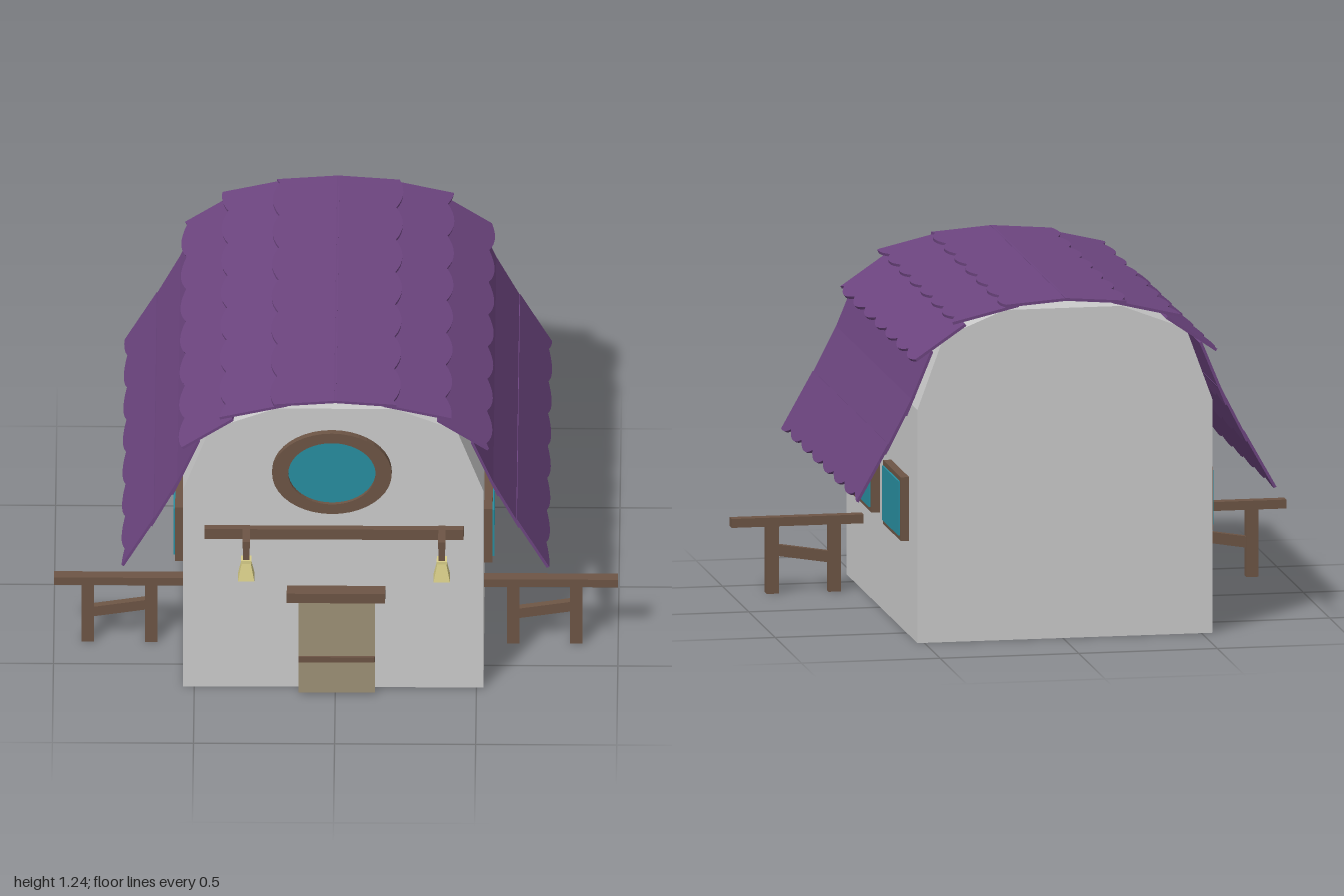
import * as THREE from 'three';

const mat = (color) => new THREE.MeshStandardMaterial({ color, flatShading: true });

export function createModel() {
  const house = new THREE.Group();
  house.name = 'house';
  const wall = mat(0xcccccc), purple = mat(0x6d4580), wood = mat(0x6d5545);
  const glass = mat(0x288ea0), plank = mat(0x9e9176), brass = mat(0xd8ce89);

  const add = (name, geo, material, parent = house) => {
    const mesh = new THREE.Mesh(geo, material);
    mesh.name = name;
    parent.add(mesh);
    return mesh;
  };
  // box given by its min and max corners
  const box = (name, [x0, y0, z0], [x1, y1, z1], material, parent) => {
    const m = add(name, new THREE.BoxGeometry(x1 - x0, y1 - y0, z1 - z0), material, parent);
    m.position.set((x0 + x1) / 2, (y0 + y1) / 2, (z0 + z1) / 2);
    return m;
  };
  const group = (name) => {
    const g = new THREE.Group();
    g.name = name;
    house.add(g);
    return g;
  };

  // barn-shaped walls
  const profile = new THREE.Shape([
    [-0.54, 0], [0.525, 0], [0.525, 0.84], [0.43, 1.1], [0.21, 1.19],
    [-0.21, 1.19], [-0.445, 1.1], [-0.54, 0.84],
  ].map(([x, y]) => new THREE.Vector2(x, y)));
  add('walls', new THREE.ExtrudeGeometry(profile, { depth: 1.34, bevelEnabled: false }), wall)
    .position.z = -0.7;

  // roof: overlapping strips with scalloped lower edges, [bottom x, y, top x, y]
  const rows = [
    [0.75, 0.525, 0.635, 0.73], [0.655, 0.685, 0.545, 0.9], [0.575, 0.83, 0.48, 1.06],
    [0.55, 1.02, 0.36, 1.15], [0.41, 1.155, 0.17, 1.212], [0.23, 1.21, -0.005, 1.228],
  ];
  const roof = group('roof');
  const front = 0.66, back = -0.765, steps = 56, step = (front - back) / steps;
  for (const side of [1, -1]) {
    rows.forEach(([xb, yb, xt, yt], r) => {
      const bottom = new THREE.Vector3(side * xb, yb, side > 0 ? front : back);
      const v = new THREE.Vector3(side * (xt - xb), yt - yb, 0);
      const height = v.length();
      v.normalize();
      const u = new THREE.Vector3(0, 0, -side);
      const w = new THREE.Vector3().crossVectors(u, v);
      const phase = r % 2 ? 1 : 5;
      const pts = [];
      for (let i = 0; i <= steps; i++) {
        const t = ((i - phase + 8) % 8) / 4 - 1;
        pts.push(new THREE.Vector2(i * step, 0.024 * t * t));
      }
      pts.push(new THREE.Vector2(front - back, height), new THREE.Vector2(0, height));
      const geo = new THREE.ExtrudeGeometry(new THREE.Shape(pts), { depth: 0.01, bevelEnabled: false });
      geo.applyMatrix4(new THREE.Matrix4().makeBasis(u, v, w).setPosition(bottom));
      add('shingleRow', geo, purple, roof);
    });
  }

  // oval gable window
  const oval = group('ovalWindow');
  const ring = new THREE.Shape().absellipse(0, 0, 0.212, 0.172, 0, Math.PI * 2);
  ring.holes.push(new THREE.Path().absellipse(0, 0, 0.155, 0.131, 0, Math.PI * 2));
  add('ovalFrame', new THREE.ExtrudeGeometry(ring, { depth: 0.025, bevelEnabled: false, curveSegments: 20 }), wood, oval);
  const pane = add('ovalGlass', new THREE.CylinderGeometry(1, 1, 1, 40), glass, oval);
  pane.rotation.x = Math.PI / 2;
  pane.scale.set(0.158, 0.012, 0.134);
  pane.position.z = 0.006;
  oval.position.set(-0.012, 0.927, 0.638);

  // two framed windows on each side
  for (const [side, x] of [[1, 0.525], [-1, -0.54]]) {
    for (const z of [0.182, -0.375]) {
      const win = group('sideWindow');
      const frame = new THREE.Shape([
        [-0.17, -0.115], [0.17, -0.115], [0.17, 0.115], [-0.17, 0.115],
      ].map(([a, b]) => new THREE.Vector2(a, b)));
      frame.holes.push(new THREE.Path([
        [-0.153, -0.098], [-0.153, 0.098], [0.153, 0.098], [0.153, -0.098],
      ].map(([a, b]) => new THREE.Vector2(a, b))));
      add('windowFrame', new THREE.ExtrudeGeometry(frame, { depth: 0.03, bevelEnabled: false }), wood, win);
      box('windowGlass', [-0.153, -0.098, 0], [0.153, 0.098, 0.036], glass, win);
      win.rotation.y = side * Math.PI / 2;
      win.position.set(x, 0.455, z);
    }
  }

  // door
  const door = group('door');
  box('doorPanel', [-0.13, 0.008, 0.63], [0.14, 0.4, 0.687], plank, door);
  box('doorLintel', [-0.172, 0.393, 0.63], [0.177, 0.433, 0.692], wood, door);
  box('doorBar', [-0.13, 0.142, 0.64], [0.14, 0.164, 0.695], wood, door);

  // beam with two hanging lanterns
  box('lanternBeam', [-0.463, 0.647, 0.63], [0.455, 0.69, 0.665], wood);
  for (const x of [-0.315, 0.378]) {
    const lantern = group('lantern');
    box('lanternArm', [-0.013, 0.664, 0.64], [0.013, 0.692, 0.748], wood, lantern);
    box('lanternHanger', [-0.011, 0.605, 0.722], [0.011, 0.666, 0.744], wood, lantern);
    const shade = add('lanternShade', new THREE.CylinderGeometry(0.022, 0.041, 0.07, 4), brass, lantern);
    shade.geometry.rotateY(Math.PI / 4);
    shade.position.set(0, 0.567, 0.733);
    box('lanternCap', [-0.018, 0.6, 0.715], [0.018, 0.612, 0.751], brass, lantern);
    lantern.position.x = x;
  }

  // short fence on each side
  for (const [x, r0, r1] of [[0.74, 0.525, 1], [-0.767, -1, -0.535]]) {
    const fence = group('fence');
    box('fenceRail', [r0, 0.243, 0.322], [r1, 0.275, 0.362], wood, fence);
    for (const dx of [-0.112, 0.112]) {
      box('fencePost', [x + dx - 0.022, 0, 0.324], [x + dx + 0.022, 0.25, 0.36], wood, fence);
    }
    const brace = box('fenceBrace', [x - 0.1, 0.12, 0.33], [x + 0.1, 0.16, 0.355], wood, fence);
    brace.rotation.z = 0.16;
  }
  return house;
}
